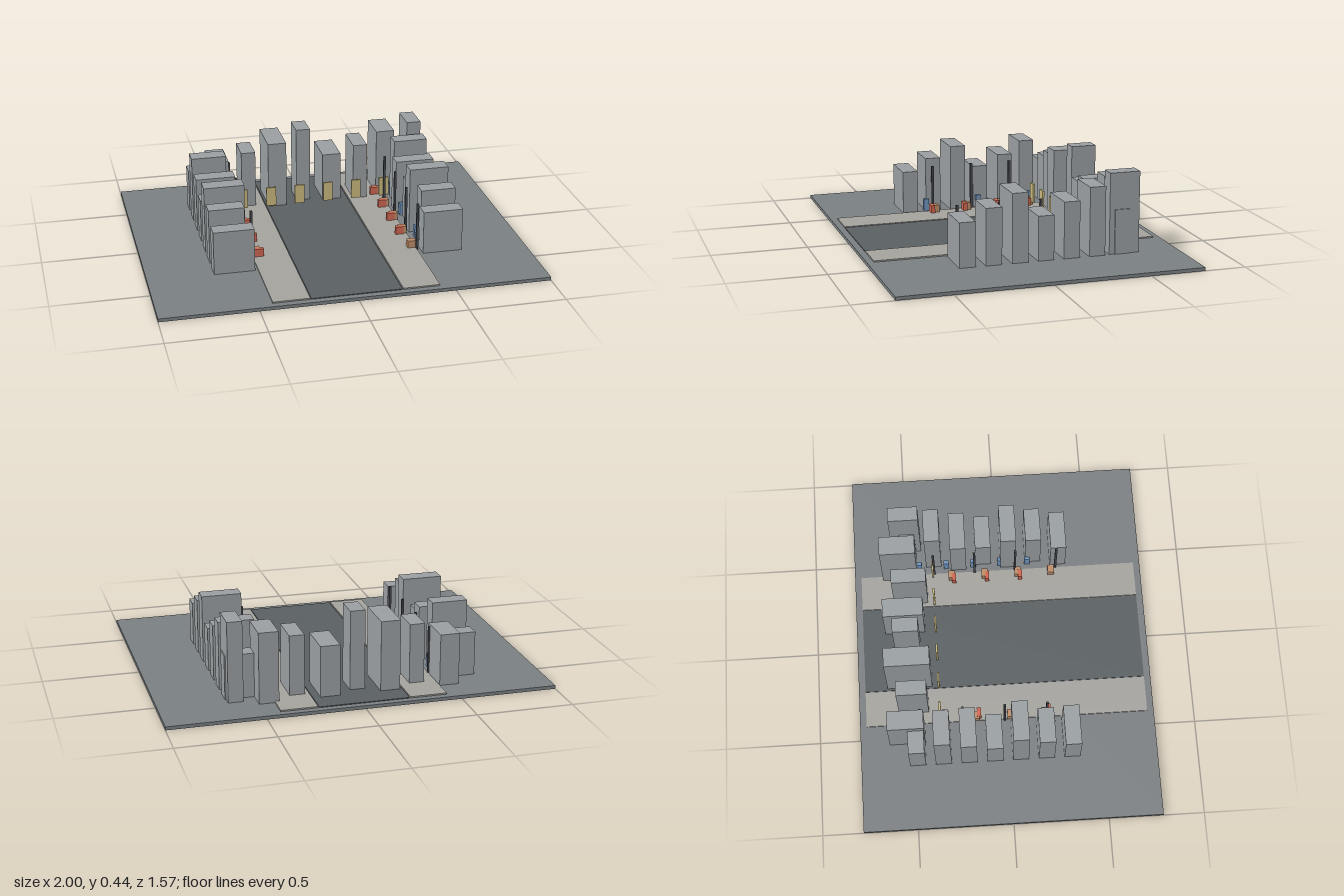
import * as THREE from 'three';

const COLORS = {
  ground: 0x7a7f82, road: 0x5a5f62, sidewalk: 0xa3a29d, building: 0x999ea1,
  sign: 0xc8b87c, post: 0x46484e, crate: 0xbd8c68, stall: 0xcf6752, kiosk: 0x6f94bd,
};

export function createModel() {
  const model = new THREE.Group();
  model.name = 'cityStreet';

  const materials = {};
  for (const key in COLORS) {
    materials[key] = new THREE.MeshStandardMaterial({ color: COLORS[key], flatShading: true });
  }

  // Box given by its extents along each axis
  function block(name, kind, [x0, x1], [y0, y1], [z0, z1]) {
    const mesh = new THREE.Mesh(new THREE.BoxGeometry(x1 - x0, y1 - y0, z1 - z0), materials[kind]);
    mesh.position.set((x0 + x1) / 2, (y0 + y1) / 2, (z0 + z1) / 2);
    mesh.name = name;
    model.add(mesh);
  }
  // Extents around a centre
  const around = (c, size) => [c - size / 2, c + size / 2];
  const FLOOR = 0.018;

  // Ground slab, road and sidewalks
  block('ground', 'ground', [-1, 1], [0, FLOOR], [-0.785, 0.785]);
  block('road', 'road', [-0.235, 0.23], [FLOOR, 0.022], [-0.75, 0.75]);
  block('rightSidewalk', 'sidewalk', [-0.43, -0.24], [FLOOR, 0.025], [-0.75, 0.75]);
  block('leftSidewalk', 'sidewalk', [0.235, 0.425], [FLOOR, 0.025], [-0.75, 0.75]);

  // Rows of buildings on both sides of the street
  const sideHeights = [0.25, 0.377, 0.312];
  for (let i = 0; i < 7; i++) {
    const z = around(-0.485 + i * 0.1362, 0.084);
    const inner = i % 2 ? 0.47 : 0.445;
    const y = [FLOOR, sideHeights[i % 3]];
    block('rightBuilding', 'building', [-0.657, -inner], y, z);
    block('leftBuilding', 'building', [inner, 0.655], y, z);
  }

  // Staggered skyline closing the street at the back
  const skylineHeights = [0.29, 0.34, 0.39, 0.44];
  const skylineFronts = [-0.44, -0.415, -0.39];
  for (let i = 0; i < 8; i++) {
    const wide = i % 2 === 0;
    const x = around(-0.485 + i * 0.1564, wide ? 0.102 : 0.078);
    block('backBuilding', 'building', x, [FLOOR, skylineHeights[i % 4]],
      [wide ? -0.63 : -0.575, skylineFronts[i % 3]]);
  }

  // Hanging sign panels across the street
  for (let i = 0; i < 6; i++) {
    block('signPanel', 'sign', around(-0.375 + i * 0.16, 0.054), [0.043, 0.15], around(-0.355, 0.01));
  }

  // Lamp posts alternate between the sidewalks
  for (let i = 0; i < 4; i++) {
    block('rightPost', 'post', around(-0.432, 0.012), [FLOOR, 0.277], around(-0.457 + i * 0.222, 0.012));
    block('leftPost', 'post', around(0.427, 0.012), [FLOOR, 0.277], around(-0.348 + i * 0.222, 0.012));
  }

  // Crates and market stalls along the curbs
  for (let i = 0; i < 5; i++) {
    const z = -0.435 + i * 0.1815;
    block('leftCrate', 'crate', around(0.403, 0.043), [0.022, 0.064], around(z, 0.034));
    if (i === 4) continue;
    block('leftStall', 'stall', around(0.385, 0.042), [0.022, 0.067], around(z + 0.012, 0.022));
    block('rightCrate', 'crate', around(-0.41, 0.042), [0.022, 0.064], around(z + 0.09, 0.032));
    block('rightStall', 'stall', around(-0.396, 0.047), [0.022, 0.067], around(-0.334 + i * 0.1855, 0.022));
  }

  // Kiosks tucked between the buildings
  for (let i = 0; i < 5; i++) {
    block('leftKiosk', 'kiosk', around(0.466, 0.022), [FLOOR, 0.085], around(-0.428 + i * 0.148, 0.028));
  }
  for (let i = 0; i < 3; i++) {
    block('rightKiosk', 'kiosk', around(-0.468, 0.022), [FLOOR, 0.085], around(-0.362 + i * 0.3, 0.028));
  }

  return model;
}
